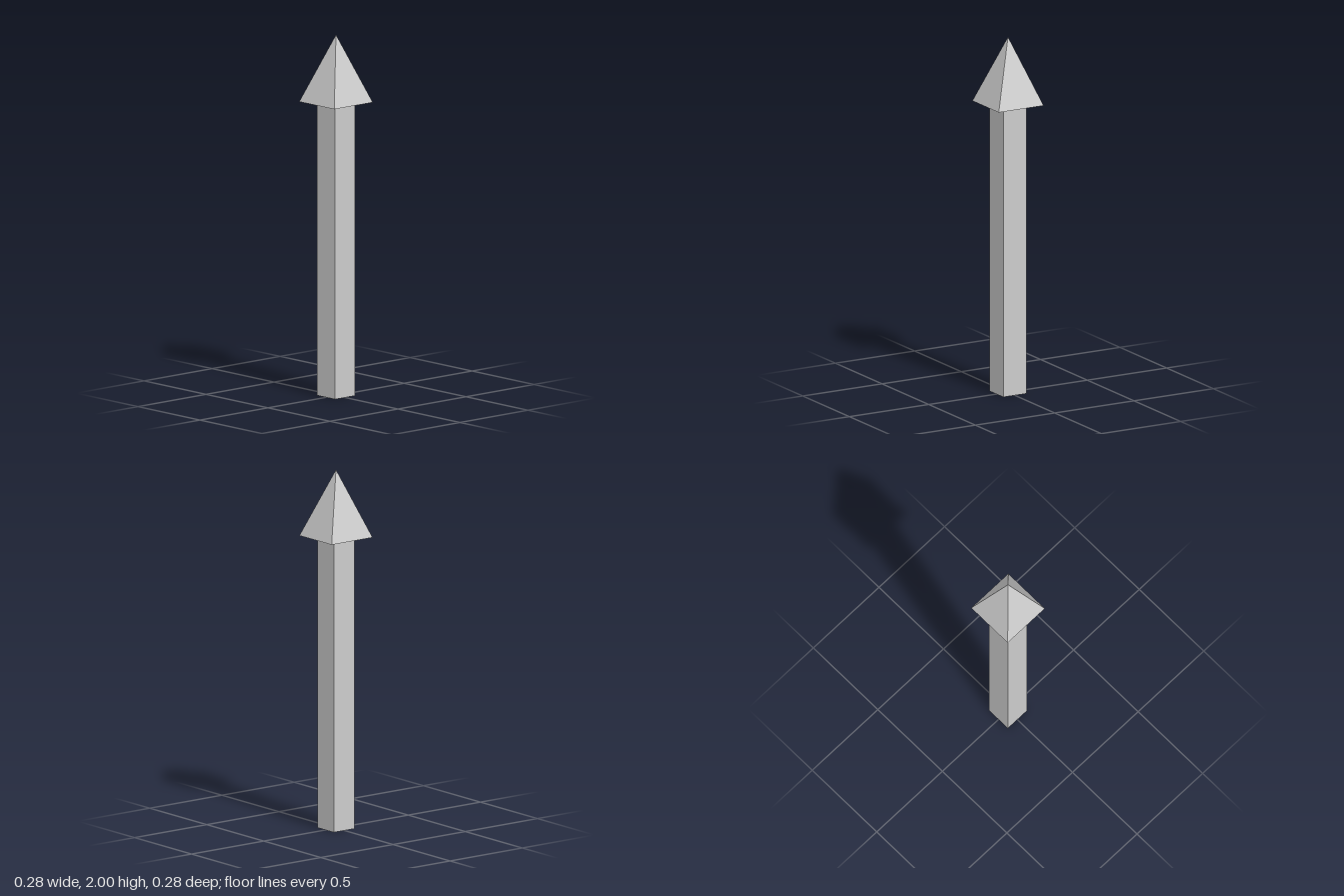
import * as THREE from 'three';

const HEIGHT = 2;
const HEAD_BASE = 1.627;
const HEAD_WIDTH = 0.283;
const SHAFT_WIDTH = 0.145;

export function createModel() {
  const group = new THREE.Group();
  group.name = 'arrow';
  const material = new THREE.MeshStandardMaterial({ color: 0xcccccc, flatShading: true });

  // Square shaft standing on the ground
  const shaft = new THREE.Mesh(new THREE.BoxGeometry(SHAFT_WIDTH, HEAD_BASE, SHAFT_WIDTH), material);
  shaft.name = 'shaft';
  shaft.position.y = HEAD_BASE / 2;

  // Four-sided pyramid head, turned so its sides line up with the shaft
  const headHeight = HEIGHT - HEAD_BASE;
  const headGeometry = new THREE.ConeGeometry(HEAD_WIDTH / Math.SQRT2, headHeight, 4);
  headGeometry.rotateY(Math.PI / 4);
  const head = new THREE.Mesh(headGeometry, material);
  head.name = 'head';
  head.position.y = HEAD_BASE + headHeight / 2;

  group.add(shaft, head);
  return group;
}
